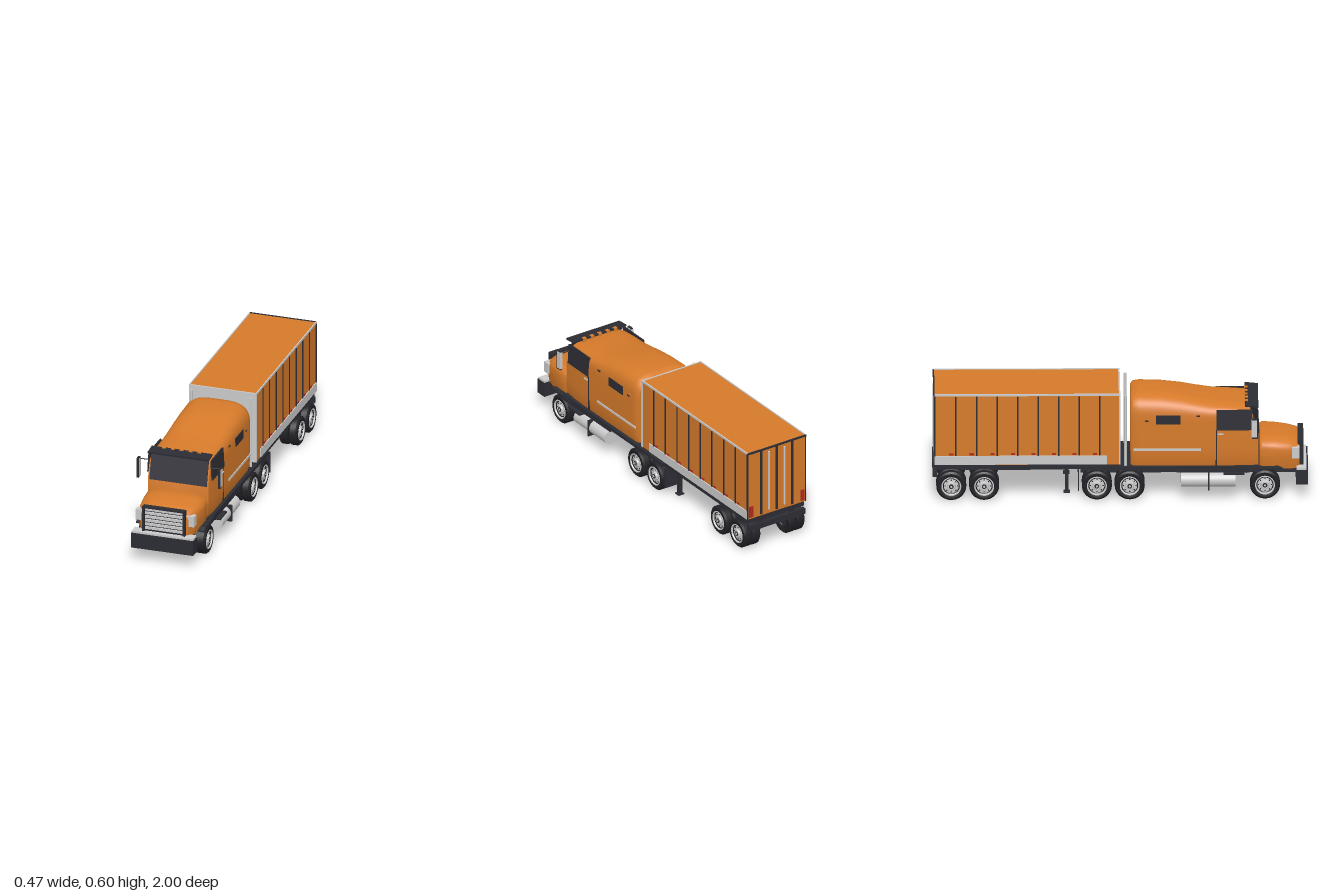
import * as THREE from 'three';
import { toCreasedNormals } from 'three/addons/utils/BufferGeometryUtils.js';

const mat = (name, color) => Object.assign(new THREE.MeshStandardMaterial({ color }), { name });

export function createModel() {
  const orange = mat('orange paint', 0xd67a2a), dark = mat('dark trim', 0x2c2c34);
  const tyreBlack = mat('tyre rubber', 0x212126), silver = mat('light metal', 0xcbcbcb);
  const red = mat('red lamp', 0xb02a22);
  const truck = new THREE.Group();
  truck.name = 'truck';

  const add = (name, geo, m, x = 0, y = 0, z = 0, parent = truck) => {
    const mesh = new THREE.Mesh(geo, m);
    mesh.name = name;
    mesh.position.set(x, y, z);
    parent.add(mesh);
    return mesh;
  };
  // Box given by its limits on each axis
  const box = (name, m, [x0, x1], [y0, y1], [z0, z1]) =>
    add(name, new THREE.BoxGeometry(Math.abs(x1 - x0), y1 - y0, z1 - z0), m, (x0 + x1) / 2, (y0 + y1) / 2, (z0 + z1) / 2);
  const pair = (name, m, [x0, x1], ys, zs) => {
    for (const s of [-1, 1]) box(name, m, [s * x0, s * x1], ys, zs);
  };
  const rod = (name, m, r, len, axis, x, y, z, seg = 20) => {
    const g = new THREE.CylinderGeometry(r, r, len, seg);
    if (axis === 'x') g.rotateZ(Math.PI / 2);
    if (axis === 'z') g.rotateX(Math.PI / 2);
    return add(name, g, m, x, y, z);
  };

  // Half cross-section: near-straight sides under a rounded crown, mirrored to a loop
  const section = ({ z, w, top, bot, h, n = 3.4, fold = 0.36, slope = 0 }) => {
    const half = [[w * 0.93, bot], [w * 0.985, bot + 0.04], [w, bot + 0.09], [w, Math.min(fold, top - h - 0.005)]];
    for (let i = 0; i <= 14; i++) {
      const a = (i / 14) * Math.PI / 2;
      half.push([w * Math.cos(a) ** (2 / n), top - h + h * Math.sin(a) ** (2 / n)]);
    }
    half[half.length - 1][0] = 0;
    const mirrored = half.slice(0, -1).reverse().map(([x, y]) => [-x, y]);
    return [...half, ...mirrored].map(([x, y]) => [x, y, z - Math.max(0, y - fold) * slope]);
  };
  // Skin over sections ordered from back to front, with both ends closed
  const loft = (specs) => {
    const rings = specs.map(section), n = rings[0].length, pos = rings.flat(2), idx = [];
    for (let i = 0; i < rings.length - 1; i++)
      for (let j = 0; j < n; j++) {
        const a = i * n + j, b = i * n + (j + 1) % n;
        idx.push(a, b, b + n, a, b + n, a + n);
      }
    const last = (rings.length - 1) * n, c = rings.length * n;
    const s0 = specs[0], s1 = specs[specs.length - 1];
    pos.push(0, (s0.top + s0.bot) / 2, s0.z, 0, Math.min(s1.fold ?? 0.36, s1.top - 0.03), s1.z);
    for (let j = 0; j < n; j++) {
      const k = (j + 1) % n;
      idx.push(c, k, j, c + 1, last + j, last + k);
    }
    const g = new THREE.BufferGeometry();
    g.setAttribute('position', new THREE.Float32BufferAttribute(pos, 3));
    g.setIndex(idx);
    return toCreasedNormals(g, 0.7);
  };

  // Sleeper cab
  add('cab', loft([
    { z: 0.055, w: 0.166, top: 0.56, bot: 0.19, h: 0.13 },
    { z: 0.068, w: 0.177, top: 0.574, bot: 0.182, h: 0.14 },
    { z: 0.1, w: 0.18, top: 0.579, bot: 0.18, h: 0.14 },
    { z: 0.22, w: 0.18, top: 0.575, bot: 0.18, h: 0.14 },
    { z: 0.32, w: 0.18, top: 0.563, bot: 0.18, h: 0.13 },
    { z: 0.4, w: 0.18, top: 0.547, bot: 0.18, h: 0.115 },
    { z: 0.48, w: 0.18, top: 0.532, bot: 0.18, h: 0.095 },
    { z: 0.58, w: 0.18, top: 0.524, bot: 0.18, h: 0.08 },
    { z: 0.66, w: 0.178, top: 0.518, bot: 0.18, h: 0.075 },
    { z: 0.735, w: 0.17, top: 0.51, bot: 0.18, h: 0.07, slope: 0.28 },
  ]), orange);
  // Hood
  const hood = { fold: 0.24, n: 3.2 };
  add('hood', loft([
    { z: 0.742, w: 0.165, top: 0.325, bot: 0.175, h: 0.07, ...hood },
    { z: 0.755, w: 0.173, top: 0.333, bot: 0.172, h: 0.075, ...hood },
    { z: 0.82, w: 0.171, top: 0.33, bot: 0.165, h: 0.075, ...hood },
    { z: 0.89, w: 0.163, top: 0.322, bot: 0.16, h: 0.075, ...hood },
    { z: 0.935, w: 0.15, top: 0.312, bot: 0.157, h: 0.07, ...hood },
    { z: 0.955, w: 0.132, top: 0.3, bot: 0.157, h: 0.06, ...hood },
  ]), orange);
  box('firewall', dark, [-0.14, 0.14], [0.18, 0.3], [0.72, 0.75]);

  // Windscreen, visor and roof lamps
  const screen = add('windscreen', new THREE.BoxGeometry(0.322, 0.158, 0.008), dark, 0, 0.442, 0.714);
  screen.rotation.x = -0.273;
  const visor = add('visor', new THREE.BoxGeometry(0.342, 0.009, 0.07), dark, 0, 0.522, 0.7);
  visor.rotation.x = 0.1;
  for (let i = -2; i <= 2; i++) box('roofLamp', orange, [i * 0.05 - 0.01, i * 0.05 + 0.01], [0.51, 0.533], [0.66, 0.68]);

  // Grille and headlights
  box('grilleBack', dark, [-0.12, 0.12], [0.17, 0.314], [0.945, 0.964]);
  pair('grilleSide', dark, [0.108, 0.12], [0.17, 0.314], [0.964, 0.976]);
  box('grilleTop', dark, [-0.12, 0.12], [0.305, 0.314], [0.964, 0.976]);
  for (let i = 0; i < 6; i++) {
    const y = 0.19 + i * 0.0215;
    box('grilleSlat', silver, [-0.105, 0.105], [y - 0.0065, y + 0.0075], [0.962, 0.972]);
  }
  pair('headlight', silver, [0.122, 0.165], [0.222, 0.282], [0.915, 0.953]);
  // Front bumper
  box('bumper', dark, [-0.175, 0.175], [0.077, 0.16], [0.935, 1]);
  box('bumperTop', silver, [-0.173, 0.173], [0.16, 0.171], [0.937, 0.992]);

  for (const s of [-1, 1]) {
    // Doors, windows and side trim
    const win = add('doorWindow', new THREE.BoxGeometry(0.009, 0.112, 0.19), dark, s * 0.1775, 0.448, 0.606);
    win.rotation.z = s * 0.06;
    box('doorSeam', dark, [s * 0.175, s * 0.182], [0.18, 0.392], [0.508, 0.514]);
    box('doorHandle', silver, [s * 0.178, s * 0.186], [0.365, 0.371], [0.52, 0.55]);
    box('sleeperWindow', dark, [s * 0.174, s * 0.183], [0.425, 0.475], [0.19, 0.32]);
    box('sideStripe', silver, [s * 0.176, s * 0.184], [0.275, 0.287], [0.07, 0.43]);
    for (const [y, z] of [[0.471, 0.415], [0.445, 0.14]])
      box('sideMarker', dark, [s * 0.174, s * 0.182], [y - 0.004, y + 0.004], [z - 0.01, z + 0.01]);
    // Mirrors
    rod('mirrorArm', dark, 0.003, 0.056, 'x', s * 0.2, 0.463, 0.7, 8);
    box('mirrorHousing', dark, [s * 0.224, s * 0.235], [0.362, 0.475], [0.7, 0.732]);
    box('mirrorFace', silver, [s * 0.222, s * 0.2375], [0.37, 0.468], [0.697, 0.726]);
    // Exhaust stacks
    rod('exhaustStack', silver, 0.0075, 0.4, 'y', s * 0.167, 0.385, 0.028, 14);
    // Fuel tank, strap, step and skirt
    rod('fuelTank', silver, 0.039, 0.29, 'z', s * 0.17, 0.107, 0.467, 28);
    box('tankStrap', dark, [s * 0.14, s * 0.213], [0.06, 0.155], [0.466, 0.474]);
    box('step', dark, [s * 0.165, s * 0.213], [0.147, 0.155], [0.55, 0.66]);
    box('skirt', dark, [s * 0.14, s * 0.187], [0.153, 0.186], [0.3, 0.74]);
    // Front fender
    const fender = new THREE.Shape([[0.67, 0.15], [0.7, 0.168], [0.84, 0.17], [0.865, 0.16], [0.865, 0.167],
      [0.84, 0.18], [0.7, 0.18], [0.67, 0.165]].map(([z, y]) => new THREE.Vector2(-z, y)));
    add('frontFender', new THREE.ExtrudeGeometry(fender, { depth: 0.07, bevelEnabled: false }).rotateY(Math.PI / 2),
      dark, s * 0.157 - 0.035);
    box('mudFlap', dark, [s * 0.09, s * 0.192], [0.05, 0.17], [-0.225, -0.219]);
  }

  // Tractor frame
  box('tractorFrame', dark, [-0.085, 0.085], [0.115, 0.178], [-0.21, 0.94]);
  box('cabFloor', dark, [-0.165, 0.165], [0.155, 0.185], [0.06, 0.74]);
  box('rearDeck', dark, [-0.19, 0.19], [0.168, 0.187], [-0.2, 0.3]);
  box('fifthWheel', dark, [-0.1, 0.1], [0.18, 0.2], [-0.15, 0.01]);

  // Trailer body
  box('trailerBody', orange, [-0.186, 0.186], [0.2, 0.6], [-0.988, -0.006]);
  box('trailerFront', silver, [-0.19, 0.19], [0.2, 0.602], [-0.008, 0]);
  pair('topRail', silver, [0.184, 0.19], [0.593, 0.604], [-0.99, 0]);
  pair('lowerRail', silver, [0.184, 0.192], [0.203, 0.252], [-0.99, -0.07]);
  box('rearHeader', dark, [-0.19, 0.19], [0.594, 0.603], [-0.996, -0.988]);
  pair('rearPost', dark, [0.184, 0.19], [0.2, 0.6], [-0.992, -0.984]);
  box('trailerFloor', dark, [-0.18, 0.18], [0.172, 0.2], [-0.985, -0.005]);
  box('trailerSpine', dark, [-0.08, 0.08], [0.13, 0.175], [-0.97, -0.28]);
  for (let i = 0; i < 8; i++) {
    const z = -0.11 - i * 0.1093;
    pair('sideRib', dark, [0.184, 0.19], [0.252, 0.59], [z - 0.004, z + 0.004]);
    pair('sideLamp', red, [0.184, 0.191], [0.257, 0.267], [z - 0.036, z - 0.014]);
  }
  // Rear doors, lock rods and tail lamps
  for (const x of [-0.1, 0, 0.1]) box('doorRib', dark, [x - 0.005, x + 0.005], [0.21, 0.594], [-0.994, -0.986]);
  for (const x of [-0.05, 0.05]) rod('lockRod', silver, 0.005, 0.35, 'y', x, 0.4, -0.992, 10);
  pair('tailLamp', red, [0.155, 0.177], [0.212, 0.275], [-0.996, -0.986]);
  box('rearBumper', dark, [-0.18, 0.18], [0.13, 0.162], [-1, -0.975]);
  pair('bumperHanger', dark, [0.09, 0.12], [0.15, 0.2], [-0.99, -0.965]);
  // Landing legs
  pair('landingLeg', dark, [0.13, 0.15], [0.03, 0.18], [-0.295, -0.275]);
  pair('landingFoot', dark, [0.122, 0.158], [0.027, 0.034], [-0.302, -0.268]);
  rod('landingBrace', dark, 0.006, 0.27, 'x', 0, 0.13, -0.285, 8);

  // Wheels
  const lathe = (pts) => toCreasedNormals(new THREE.LatheGeometry(pts.map(([r, y]) => new THREE.Vector2(r, y)), 36), 0.6);
  const tyreGeo = (w) => lathe([[0.04, -w / 2 + 0.008], [0.053, -w / 2], [0.071, -w / 2], [0.08, -w / 2 + 0.009],
    [0.08, w / 2 - 0.009], [0.071, w / 2], [0.053, w / 2], [0.04, w / 2 - 0.008]]);
  const rimGeo = lathe([[0.054, -0.004], [0.053, 0.002], [0.048, 0.002], [0.043, -0.01], [0.024, -0.007], [0.02, 0.002], [0, 0.002]]);
  const wheel = (s, z, inner, outer, dual) => {
    const g = new THREE.Group();
    g.name = dual ? 'dualWheel' : 'frontWheel';
    g.position.set(s * outer, 0.08, z);
    g.rotation.z = -s * Math.PI / 2;
    truck.add(g);
    const count = dual ? 2 : 1, w = (outer - inner - (count - 1) * 0.004) / count;
    for (let i = 0; i < count; i++) add('tyre', tyreGeo(w), tyreBlack, 0, -w / 2 - i * (w + 0.004), 0, g);
    add('wheelCore', new THREE.CylinderGeometry(0.046, 0.046, outer - inner - 0.03, 24), dark, 0, -(outer - inner) / 2, 0, g);
    add('rim', rimGeo, silver, 0, 0, 0, g);
    add('hub', new THREE.CylinderGeometry(0.013, 0.013, 0.004, 16), dark, 0, 0.002, 0, g);
    add('hubCap', new THREE.CylinderGeometry(0.006, 0.006, 0.004, 12), silver, 0, 0.004, 0, g);
    for (let i = 0; i < 8; i++) {
      const a = i * Math.PI / 4;
      add('rimHole', new THREE.CylinderGeometry(0.0035, 0.0035, 0.004, 8), dark, 0.034 * Math.cos(a), -0.0085, 0.034 * Math.sin(a), g);
    }
  };
  for (const z of [0.77, 0.05, -0.125, -0.725, -0.9]) {
    const front = z > 0.5;
    for (const s of [-1, 1]) wheel(s, z, front ? 0.12 : 0.092, front ? 0.188 : 0.194, !front);
    rod('axle', dark, 0.013, 0.24, 'x', 0, 0.08, z, 12);
    pair('axleHanger', dark, [0.05, 0.075], [0.075, 0.15], [z - 0.02, z + 0.02]);
  }
  return truck;
}
